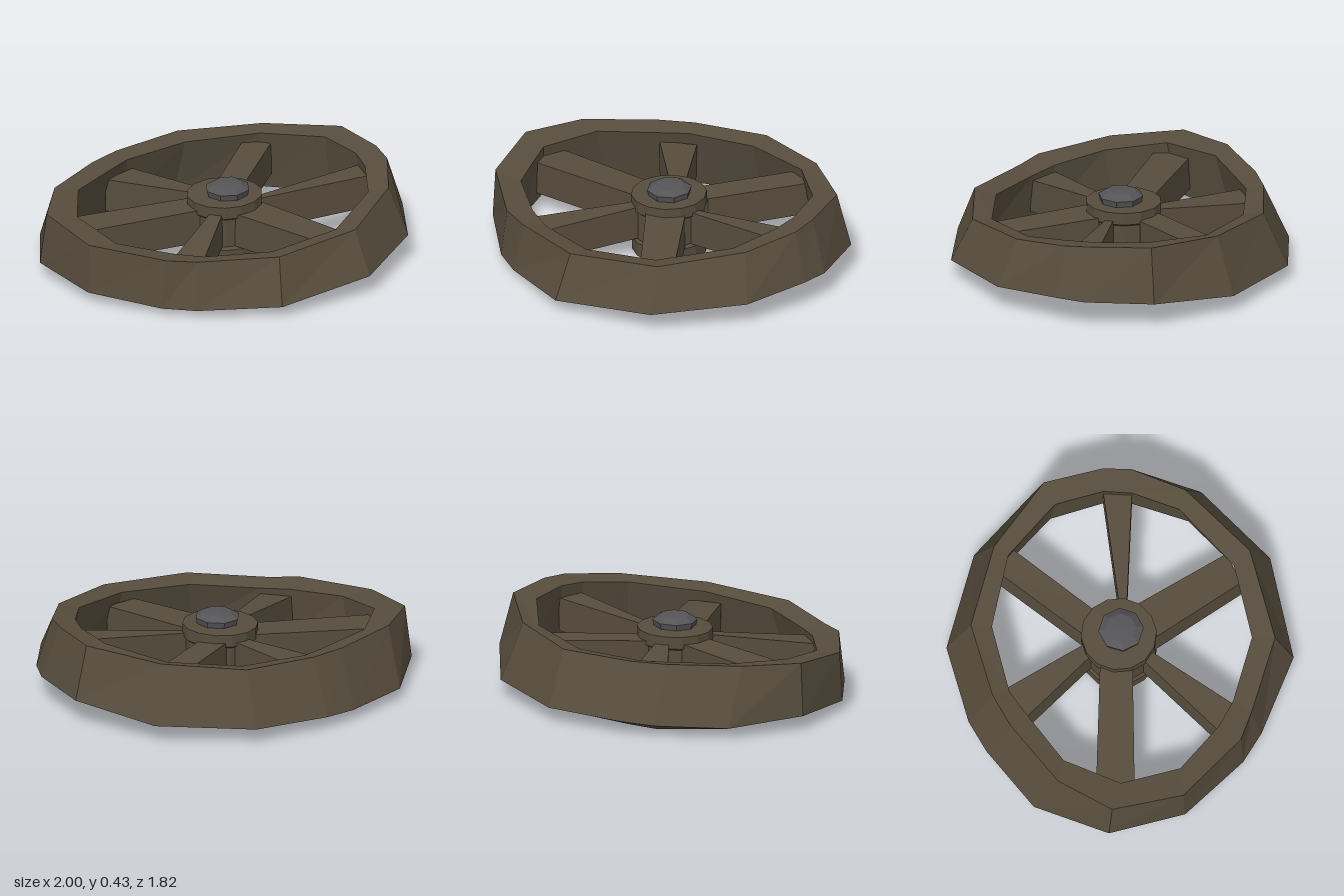
import * as THREE from 'three';

const wood = new THREE.MeshStandardMaterial({ color: 0x574d3d, flatShading: true, side: THREE.DoubleSide });
const iron = new THREE.MeshStandardMaterial({ color: 0x555557, flatShading: true });

// Skin a list of equal closed cross-sections; either join the ends or cap them
function loft(sections, closed) {
  const n = sections[0].length, pos = sections.flat(2), idx = [];
  const count = closed ? sections.length : sections.length - 1;
  for (let i = 0; i < count; i++) {
    const a = i * n, b = ((i + 1) % sections.length) * n;
    for (let k = 0; k < n; k++) {
      const m = (k + 1) % n;
      idx.push(a + k, b + k, b + m, a + k, b + m, a + m);
    }
  }
  if (!closed) {
    const e = (sections.length - 1) * n;
    for (let k = 1; k < n - 1; k++) idx.push(0, k, k + 1, e, e + k + 1, e + k);
  }
  const g = new THREE.BufferGeometry();
  g.setAttribute('position', new THREE.Float32BufferAttribute(pos, 3));
  g.setIndex(idx);
  const flat = g.toNonIndexed();
  flat.computeVertexNormals();
  return flat;
}

function add(parent, name, geometry, material) {
  const mesh = new THREE.Mesh(geometry, material);
  mesh.name = name;
  parent.add(mesh);
  return mesh;
}

const lathe = (pts, sides) => new THREE.LatheGeometry(pts.map(([r, y]) => new THREE.Vector2(r, y)), sides);

// Rough-hewn rim stations: outer bottom x z, outer top x z, inner top x z,
// then heights of outer bottom, outer top and inner bottom
const RIM = [
  [1.00, 0.00, 0.91, -0.02, 0.79, -0.02, 0.15, 0.43, 0.10],
  [0.93, -0.36, 0.86, -0.33, 0.74, -0.28, 0.14, 0.43, 0.08],
  [0.61, -0.72, 0.54, -0.62, 0.49, -0.55, 0.09, 0.395, 0.045],
  [0.11, -0.91, 0.12, -0.78, 0.11, -0.67, 0.08, 0.37, 0.03],
  [-0.31, -0.83, -0.28, -0.70, -0.26, -0.61, 0.07, 0.365, 0.015],
  [-0.48, -0.75, -0.46, -0.62, -0.38, -0.54, 0.06, 0.365, 0.0],
  [-0.81, -0.53, -0.79, -0.40, -0.67, -0.36, 0.06, 0.37, 0.02],
  [-1.00, -0.15, -0.97, -0.13, -0.82, -0.07, 0.08, 0.36, 0.055],
  [-0.92, 0.26, -0.91, 0.25, -0.75, 0.25, 0.055, 0.32, 0.05],
  [-0.65, 0.59, -0.62, 0.58, -0.53, 0.47, 0.04, 0.305, 0.02],
  [-0.50, 0.70, -0.47, 0.65, -0.39, 0.56, 0.04, 0.295, 0.012],
  [-0.10, 0.905, -0.07, 0.81, -0.05, 0.69, 0.065, 0.31, 0.03],
  [0.45, 0.83, 0.42, 0.72, 0.35, 0.63, 0.105, 0.335, 0.045],
  [0.84, 0.50, 0.77, 0.41, 0.67, 0.37, 0.135, 0.385, 0.075],
  [0.98, 0.15, 0.90, 0.13, 0.77, 0.13, 0.155, 0.42, 0.10],
];

// Spokes: two hub corners x z, two rim corners x z, top y at the rim
const SPOKES = [
  [0.19, 0.05, 0.19, 0.01, 0.79, 0.13, 0.81, -0.02, 0.34],
  [0.18, -0.13, 0.03, -0.18, 0.55, -0.53, 0.42, -0.61, 0.32],
  [0.00, -0.17, -0.06, -0.14, -0.22, -0.63, -0.41, -0.56, 0.28],
  [-0.13, -0.12, -0.16, 0.05, -0.80, -0.20, -0.84, 0.00, 0.28],
  [-0.13, 0.11, -0.07, 0.14, -0.56, 0.49, -0.41, 0.58, 0.24],
  [-0.02, 0.16, 0.18, 0.09, 0.27, 0.66, 0.44, 0.60, 0.26],
];

export function createModel() {
  const wheel = new THREE.Group();
  wheel.name = 'woodenWheel';

  // Rim: uneven ring flaring towards the bottom, inner lip lower than the outer one
  const rim = RIM.map(([bx, bz, tx, tz, ix, iz, yb, yt, yi]) => [
    [bx, yb, bz],
    [tx, yt, tz],
    [ix, yt - 0.02, iz],
    [bx * 0.84, yi, bz * 0.84],
  ]);
  add(wheel, 'rim', loft(rim, true), wood);

  // Six deep, irregular spokes
  const spokes = new THREE.Group();
  spokes.name = 'spokes';
  wheel.add(spokes);
  SPOKES.forEach(([ax, az, bx, bz, cx, cz, dx, dz, y], i) => {
    const section = (x1, z1, x2, z2, lo, hi) => [[x1, lo, z1], [x1, hi, z1], [x2, hi, z2], [x2, lo, z2]];
    const geometry = loft([
      section(ax, az, bx, bz, 0.11, 0.295),
      section(cx, cz, dx, dz, y - 0.18, y),
    ], false);
    add(spokes, 'spoke' + (i + 1), geometry, wood);
  });

  // Hub with a collar and axle hole below, and an iron cap on top
  const hub = new THREE.Group();
  hub.name = 'hub';
  hub.position.set(0.02, 0, -0.008);
  hub.rotation.z = 0.02;
  wheel.add(hub);
  add(hub, 'hubBarrel', lathe([
    [0, 0.28], [0.13, 0.28], [0.135, 0.025], [0.2, 0.02], [0.2, 0.095],
    [0.187, 0.11], [0.187, 0.265], [0.2, 0.275], [0.2, 0.34], [0, 0.345],
  ], 14), wood);
  const cap = add(hub, 'axleCap', lathe([
    [0, 0.335], [0.11, 0.335], [0.12, 0.375], [0.08, 0.4], [0, 0.405],
  ], 8), iron);
  cap.position.set(0.012, 0, 0.013);

  return wheel;
}
